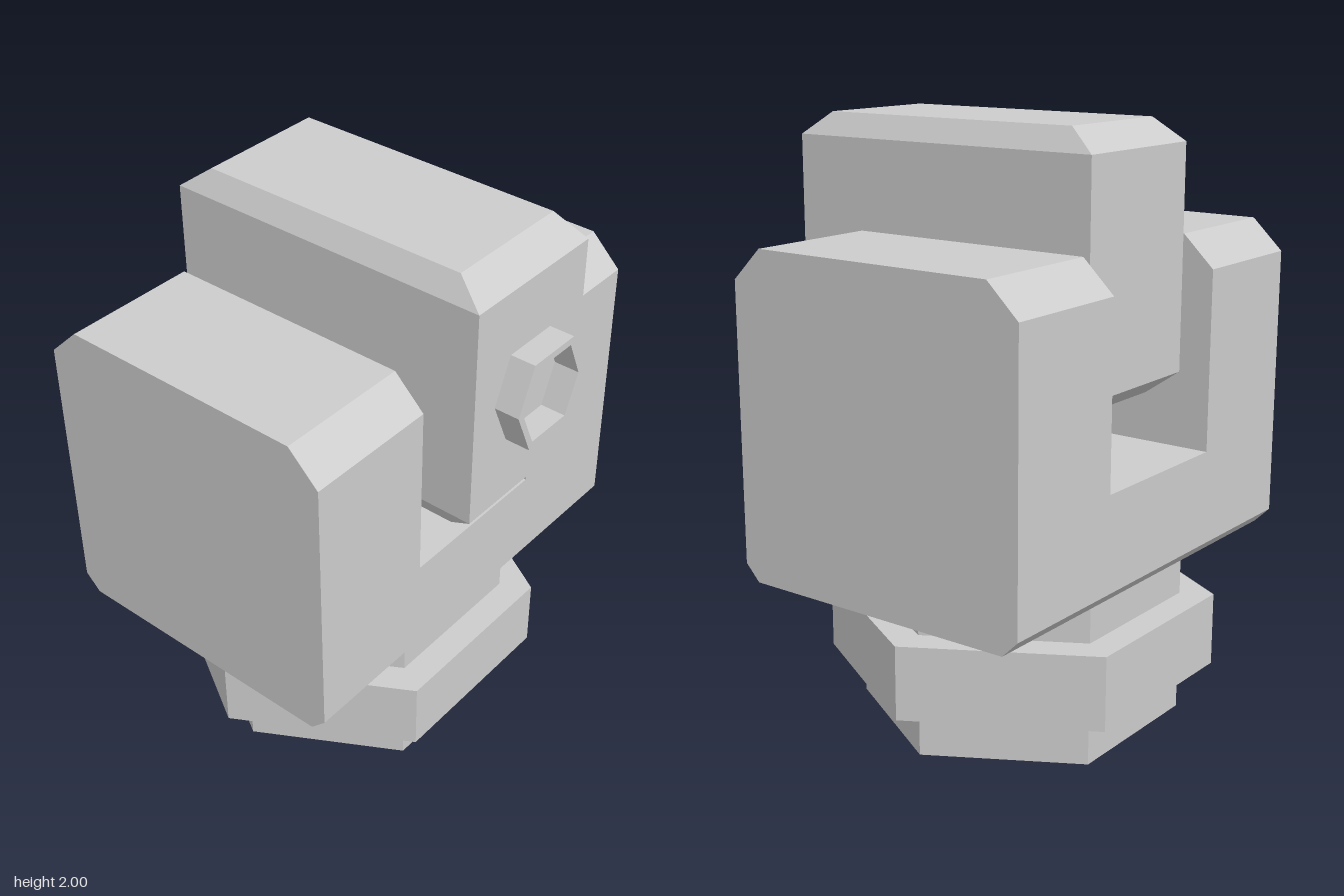
import * as THREE from 'three';
import { ConvexGeometry } from 'three/addons/geometries/ConvexGeometry.js';

const steel = new THREE.MeshStandardMaterial({ color: 0xcccccc, side: THREE.DoubleSide });
steel.name = 'greySteel';

function add(group, name, geometry) {
  const mesh = new THREE.Mesh(geometry, steel);
  mesh.name = name;
  group.add(mesh);
  return mesh;
}

const points = (list) => list.map(([x, y]) => new THREE.Vector2(x, y));

// Extrudes a (z, y) profile sideways from x0 to x1
function extrudeAcross(profile, x0, x1) {
  const shape = new THREE.Shape(points(profile.map(([z, y]) => [-z, y])));
  return new THREE.ExtrudeGeometry(shape, { depth: x1 - x0, bevelEnabled: false })
    .rotateY(Math.PI / 2)
    .translate(x0, 0, 0);
}

// Hexagon with its corners on the x axis
const hexagon = (rx, ry) => points(
  [0, 1, 2, 3, 4, 5].map((i) => [rx * Math.cos(i * Math.PI / 3) * (i % 3 ? 1.19 : 1), ry * [0, 1, 1, 0, -1, -1][i]])
);

export function createModel() {
  const model = new THREE.Group();
  model.name = 'clevisClamp';

  // Forked body: two chamfered arms joined by a lower bridge
  const clevis = new THREE.Group();
  clevis.name = 'clevisBody';
  model.add(clevis);
  const arm = [[0.375, 0.545], [0.428, 0.6], [0.428, 1.525], [0.32, 1.63],
    [-0.545, 1.63], [-0.655, 1.525], [-0.655, 0.6], [-0.6, 0.545]];
  const bridge = [[0.375, 0.545], [0.428, 0.6], [0.428, 0.92],
    [-0.655, 0.92], [-0.655, 0.6], [-0.6, 0.545]];
  add(clevis, 'rightArm', extrudeAcross(arm, -0.757, -0.29));
  add(clevis, 'leftArm', extrudeAcross(arm, 0.286, 0.754));
  add(clevis, 'bridge', extrudeAcross(bridge, -0.29, 0.286));

  // Sliding block, chamfered around its top and bottom
  const corners = [];
  for (const [y, hx, hz] of [[1.105, 0.223, 0.475], [1.18, 0.267, 0.575], [1.925, 0.267, 0.575], [2, 0.223, 0.475]]) {
    for (const sx of [-1, 1]) {
      for (const sz of [-1, 1]) corners.push(new THREE.Vector3(-0.002 + sx * hx, y, 0.02 + sz * hz));
    }
  }
  add(model, 'slidingBlock', new ConvexGeometry(corners));

  // Hollow hexagonal socket on the front of the block
  const ring = new THREE.Shape(hexagon(0.165, 0.152));
  ring.holes.push(new THREE.Path(hexagon(0.142, 0.128)));
  const socket = add(model, 'hexSocket', new THREE.ExtrudeGeometry(ring, { depth: 0.085, bevelEnabled: false }));
  socket.position.set(-0.004, 1.555, 0.595);

  // Hollow hexagonal neck with a wider nut, open underneath
  const neck = points([[0.543, 0], [0.543, 0.165], [0.657, 0.165], [0.657, 0.415], [0.543, 0.415], [0.543, 0.545]]);
  const shell = new THREE.LatheGeometry(neck, 6, Math.PI / 2).toNonIndexed();
  shell.computeVertexNormals();
  add(model, 'hexNeckAndNut', shell).position.set(-0.002, 0, -0.11);

  return model;
}
